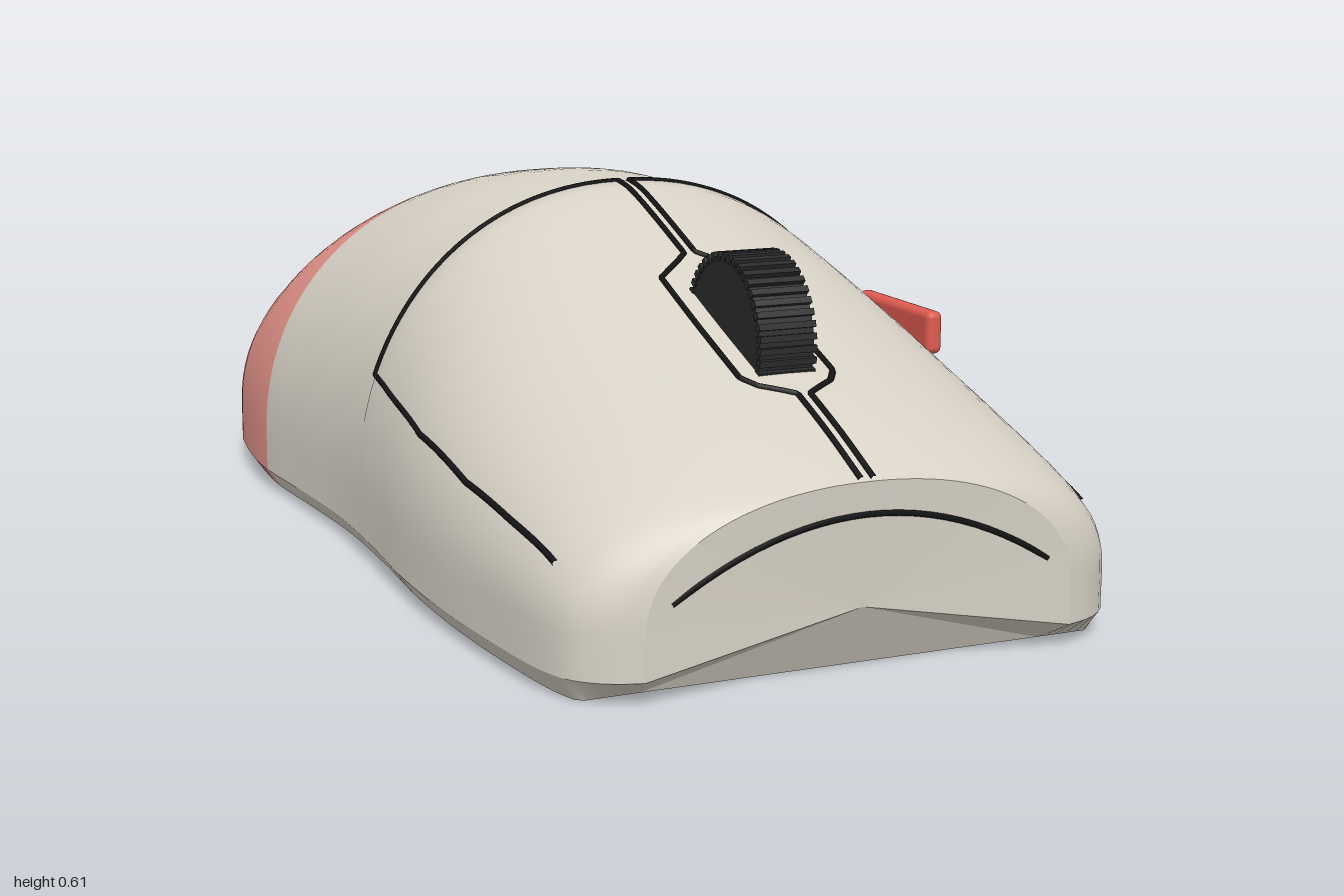
import * as THREE from 'three';
import { RoundedBoxGeometry } from 'three/addons/geometries/RoundedBoxGeometry.js';

const mat = (name, color) => Object.assign(new THREE.MeshStandardMaterial({ color }), { name });

// Smooth interpolation through [z, value] pairs
function sample(table, z) {
  const n = table.length;
  let i = 0;
  while (i < n - 2 && z > table[i + 1][0]) i++;
  const slope = (k) => {
    const a = table[Math.max(k - 1, 0)], b = table[Math.min(k + 1, n - 1)];
    return (b[1] - a[1]) / (b[0] - a[0]);
  };
  const [z0, v0] = table[i], [z1, v1] = table[i + 1], d = z1 - z0, t = (z - z0) / d;
  const t2 = t * t, t3 = t2 * t;
  return v0 * (2 * t3 - 3 * t2 + 1) + v1 * (3 * t2 - 2 * t3)
    + slope(i) * d * (t3 - 2 * t2 + t) + slope(i + 1) * d * (t3 - t2);
}

// Half width and crest height along the length
const WIDTH = [[-1, 0.03], [-0.985, 0.1], [-0.95, 0.215], [-0.9, 0.31], [-0.8, 0.41], [-0.7, 0.46], [-0.6, 0.487],
  [-0.4, 0.505], [-0.2, 0.49], [0, 0.477], [0.2, 0.48], [0.4, 0.49], [0.6, 0.486], [0.8, 0.467], [0.9, 0.45],
  [0.95, 0.428], [0.985, 0.385], [1, 0.34]];
const HEIGHT = [[-1, 0.06], [-0.9, 0.2], [-0.8, 0.315], [-0.7, 0.408], [-0.6, 0.472], [-0.5, 0.52], [-0.35, 0.565],
  [-0.2, 0.59], [-0.1, 0.599], [0, 0.597], [0.13, 0.592], [0.2, 0.58], [0.4, 0.511], [0.6, 0.437], [0.8, 0.367],
  [0.9, 0.329], [1, 0.285]];
const STEP = 0.13, POWER = 2.15, SKIRT = 0.035;

const halfWidth = (z) => sample(WIDTH, z);
// The main buttons stand slightly proud of the palm rest
const crest = (z) => sample(HEIGHT, z) + (z >= STEP ? 0.014 * (1 - z) / 0.87 : 0);
const shoulder = (z) => Math.min(0.1, crest(z) * 0.75);
function surfaceY(x, z) {
  const u = Math.min(Math.abs(x) / halfWidth(z), 1);
  return shoulder(z) + (crest(z) - shoulder(z)) * Math.pow(1 - Math.pow(u, POWER), 1 / POWER);
}

// Closed cross-section, anticlockwise from the middle of the base
function section(z) {
  const w = halfWidth(z), s = shoulder(z), h = crest(z), low = Math.min(z, 0.94), wb = w * 0.95;
  const pts = [[0, 0, low], [wb, 0, low], [wb, 0, low], [w, SKIRT, z], [w, SKIRT, z]];
  const N = 48;
  for (let i = 0; i <= N; i++) {
    const a = Math.PI * i / N, c = Math.cos(a), e = 2 / POWER;
    pts.push([Math.sign(c) * w * Math.pow(Math.abs(c), e), s + (h - s) * Math.pow(Math.max(Math.sin(a), 0), e), z]);
  }
  pts.push([-w, SKIRT, z], [-w, SKIRT, z], [-wb, 0, low], [-wb, 0, low], [0, 0, low]);
  return pts;
}

function shellGeometry() {
  const zs = [-1, -0.995, -0.985, -0.97];
  for (let z = -0.95; z < -0.71; z += 0.05) zs.push(z);
  for (let i = 0; i <= 8; i++) zs.push(-0.7 + 0.34 * i / 8);
  for (let i = 1; i <= 12; i++) zs.push(-0.36 + 0.488 * i / 12);
  for (let i = 0; i <= 20; i++) zs.push(STEP + 0.8 * i / 20);
  zs.push(0.95, 0.965, 0.98, 0.99, 0.996, 1);
  const rings = zs.map(section), m = rings[0].length;
  const buckets = [[], [], []];
  for (let j = 0; j < zs.length - 1; j++) {
    const mid = (zs[j] + zs[j + 1]) / 2;
    const bucket = buckets[mid < -0.7 ? 2 : mid < -0.36 ? 1 : 0];
    for (let i = 0; i < m - 1; i++) {
      const a = j * m + i, b = a + 1, c = b + m, d = a + m;
      bucket.push(a, b, c, a, c, d);
    }
  }
  const g = new THREE.BufferGeometry();
  g.setAttribute('position', new THREE.Float32BufferAttribute(rings.flat(2), 3));
  g.setIndex(buckets.flat());
  let start = 0;
  buckets.forEach((b, k) => { g.addGroup(start, b.length, k); start += b.length; });
  g.computeVertexNormals();
  return g;
}

// Fan closing one end of the shell
function capGeometry(z, centre) {
  const ring = section(z), pos = [];
  for (let i = 0; i < ring.length - 1; i++) {
    const pair = z > 0 ? [ring[i], ring[i + 1]] : [ring[i + 1], ring[i]];
    pos.push(...centre, ...pair[0], ...pair[1]);
  }
  const g = new THREE.BufferGeometry();
  g.setAttribute('position', new THREE.Float32BufferAttribute(pos, 3));
  g.computeVertexNormals();
  return g;
}

export function createModel() {
  const model = new THREE.Group();
  model.name = 'computerMouse';
  const shell = mat('warmGrey', 0xd8d2c6), pink = mat('paleRed', 0xe3938a), red = mat('red', 0xe05a50);
  const rubber = mat('wheelBlack', 0x2b2b2d), gap = mat('seamBlack', 0x141416);
  const add = (name, geometry, material, parent = model) => {
    const mesh = new THREE.Mesh(geometry, material);
    mesh.name = name;
    parent.add(mesh);
    return mesh;
  };

  // Shell with two coloured bands at the back
  add('shell', shellGeometry(), [shell, pink, red]);
  add('frontFace', capGeometry(1, [0, 0.1, 0.99]), shell);
  add('tailFace', capGeometry(-1, [0, 0.03, -1]), red);
  const patch = new THREE.BufferGeometry();
  patch.setAttribute('position', new THREE.Float32BufferAttribute(
    [0.47, -0.001, -0.36, -0.23, -0.001, 0.1, -0.36, -0.001, -0.36], 3));
  patch.computeVertexNormals();
  add('basePatch', patch, pink);

  // Seams: thin tubes laid on the surface
  const seams = new THREE.Group();
  seams.name = 'seams';
  model.add(seams);
  const tube = (name, points) => {
    const path = new THREE.CurvePath();
    for (let i = 1; i < points.length; i++) path.add(new THREE.LineCurve3(points[i - 1], points[i]));
    add(name, new THREE.TubeGeometry(path, points.length * 2, 0.005, 6), gap, seams);
  };
  const onSurface = (corners) => {
    const out = [];
    for (let k = 1; k < corners.length; k++) {
      const [x0, z0] = corners[k - 1], [x1, z1] = corners[k];
      for (let i = k > 1 ? 1 : 0; i <= 10; i++) {
        const x = x0 + (x1 - x0) * i / 10, z = z0 + (z1 - z0) * i / 10;
        out.push(new THREE.Vector3(x, surfaceY(x, z), z));
      }
    }
    return out;
  };
  for (const s of [1, -1]) {
    const flip = (list) => onSurface(list.map(([x, z]) => [s * x, z]));
    tube('centreSeam', flip([[0.01, STEP], [0.01, 0.4], [0.03, 0.42], [0.077, 0.46], [0.077, 0.745],
      [0.06, 0.77], [0.01, 0.8], [0.01, 0.995]]));
    tube('rearSeam', flip([[0.01, STEP], [0.2, STEP], [0.35, STEP], [0.42, STEP], [0.445, STEP]]));
    tube('sideSeam', flip([[0.445, STEP], [0.459, 0.4], [0.455, 0.6], [0.442, 0.75], [0.428, 0.89]]));
  }
  const arc = [];
  for (let i = 0; i <= 24; i++) {
    const x = -0.3 + 0.6 * i / 24;
    arc.push(new THREE.Vector3(x, 0.237 - 0.097 * (x / 0.3) ** 2, 0.996));
  }
  tube('frontSeam', arc);

  // Scroll wheel with ribs
  const wheel = new THREE.Group();
  wheel.name = 'scrollWheel';
  wheel.position.set(0, 0.425, 0.62);
  model.add(wheel);
  add('wheelCore', new THREE.CylinderGeometry(0.124, 0.124, 0.09, 48).rotateZ(Math.PI / 2), rubber, wheel);
  const ribs = 44;
  for (let i = 0; i < ribs; i++) {
    const a = i / ribs * Math.PI * 2;
    const rib = add('wheelRib', new THREE.BoxGeometry(0.094, 0.014, 0.01), rubber, wheel);
    rib.position.set(0, Math.cos(a) * 0.124, Math.sin(a) * 0.124);
    rib.rotation.x = a;
  }

  // Thumb buttons on the left flank
  for (const [name, z] of [['forwardButton', 0.245], ['backButton', -0.095]]) {
    const button = add(name, new RoundedBoxGeometry(0.03, 0.074, 0.25, 3, 0.012), red);
    button.position.set(z > 0 ? 0.477 : 0.482, 0.348, z);
  }
  return model;
}
